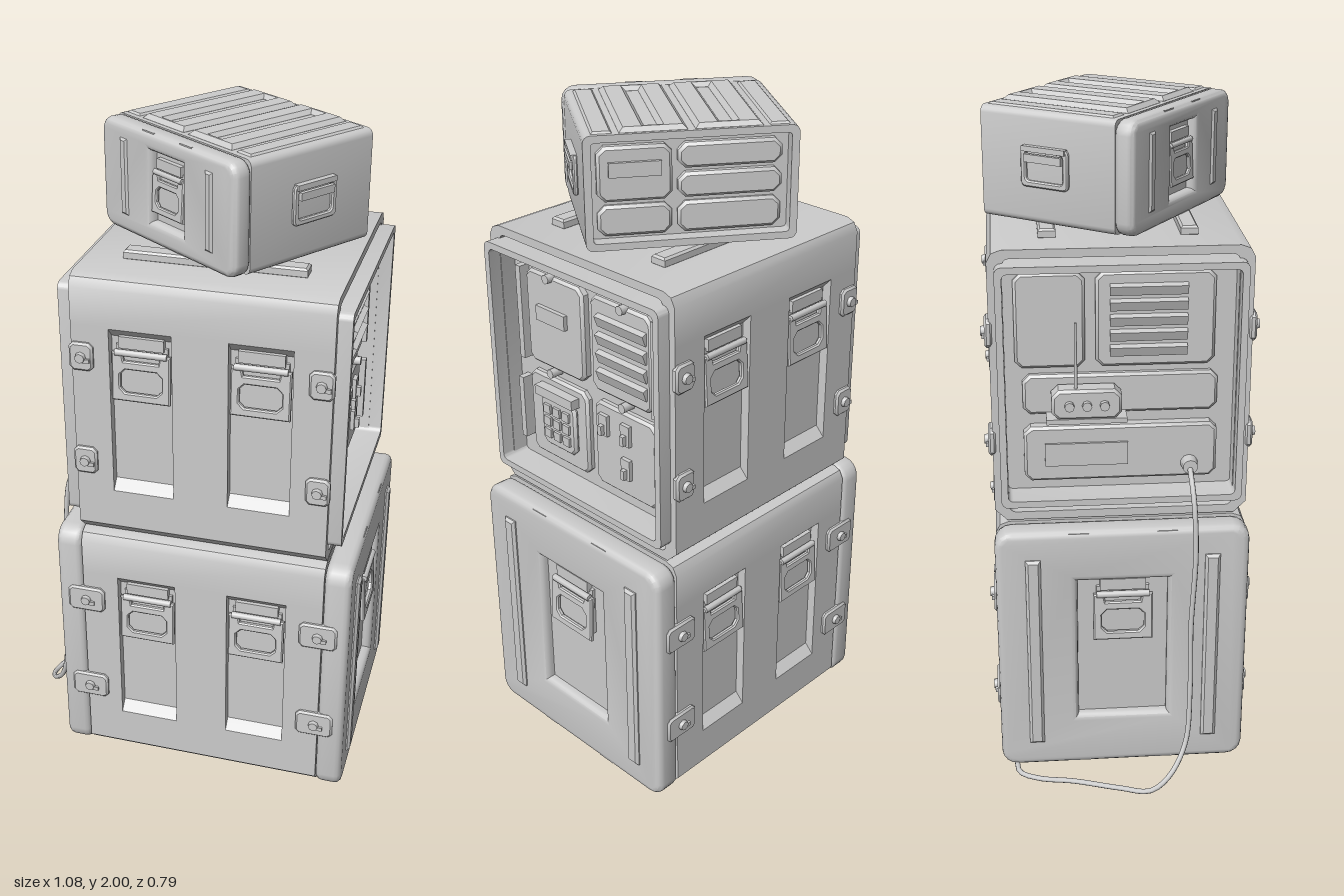
import * as THREE from 'three';
import { toCreasedNormals } from 'three/addons/utils/BufferGeometryUtils.js';

const MAT = new THREE.MeshStandardMaterial({ color: 0xcccccc });

function add(parent, name, geo, x = 0, y = 0, z = 0) {
  const m = new THREE.Mesh(geo, MAT);
  m.name = name;
  m.position.set(x, y, z);
  parent.add(m);
  return m;
}
const box = (p, name, w, h, d, x, y, z) => add(p, name, new THREE.BoxGeometry(w, h, d), x, y, z);

function sub(parent, name, x = 0, y = 0, z = 0, ry = 0) {
  const g = new THREE.Group();
  g.name = name;
  g.position.set(x, y, z);
  g.rotation.y = ry;
  parent.add(g);
  return g;
}
// Rectangle with rounded (or, with arc = false, chamfered) corners
function rect(w, h, r, cx = 0, cy = 0, arc = true) {
  const s = new THREE.Shape(), a = w / 2, b = h / 2;
  [[1, -1, 0], [1, 1, 1], [-1, 1, 2], [-1, -1, 3]].forEach(([sx, sy, q]) => {
    const n = r > 0 ? (arc ? 4 : 1) : 0;
    for (let i = 0; i <= n; i++) {
      const t = (q - 1 + (n ? i / n : 0)) * Math.PI / 2;
      const x = cx + sx * (a - r) + Math.cos(t) * r, y = cy + sy * (b - r) + Math.sin(t) * r;
      if (q === 0 && i === 0) s.moveTo(x, y); else s.lineTo(x, y);
    }
  });
  s.closePath();
  return s;
}
// Extrusion from z = 0 to z = depth; the bevel stays inside the outline
function ext(shape, depth, bevel = 0, segs = 1) {
  const g = new THREE.ExtrudeGeometry(shape, {
    depth: depth - 2 * bevel, bevelEnabled: bevel > 0, bevelSize: bevel,
    bevelThickness: bevel, bevelOffset: -bevel, bevelSegments: segs, curveSegments: 4,
  });
  g.translate(0, 0, bevel);
  return toCreasedNormals(g, 0.55);
}
const poly = pts => new THREE.Shape(pts.map(p => new THREE.Vector2(...p)));
const holed = (shape, ...holes) => { shape.holes.push(...holes); return shape; };
// Extrusion of a (z, y) profile along x, centred
function alongX(shape, length, x = 0) {
  return ext(shape, length).translate(0, 0, -length / 2).rotateY(Math.PI / 2).translate(x, 0, 0);
}

// Fold-down grip: mounting bracket, hinge bar, dished plate and raised loop
function grip(parent, x, y, z, s = 1) {
  const g = sub(parent, 'gripHandle', x, y, z);
  g.scale.setScalar(s);
  box(g, 'gripPlate', 0.15, 0.15, 0.01, 0, -0.01, 0.004);
  box(g, 'gripBracket', 0.13, 0.035, 0.018, 0, 0.075, 0.01);
  const loop = poly([[-0.085, 0.045], [-0.085, -0.1], [0.085, -0.1], [0.085, 0.045], [0.055, 0.045],
    [0.05, 0.02], [-0.05, 0.02], [-0.055, 0.045]]);
  const flap = add(g, 'gripLoop', ext(holed(loop, rect(0.12, 0.07, 0.015, 0, -0.04, false)), 0.016, 0.004), 0, 0, 0.01);
  flap.rotation.x = -0.06;
  const bar = add(g, 'gripHinge', new THREE.CylinderGeometry(0.01, 0.01, 0.15, 8), 0, 0.045, 0.02);
  bar.rotation.z = Math.PI / 2;
}

// Corner catch: plate with a turn knob
function catchPlate(parent, w, x, y, z) {
  const g = sub(parent, 'catch', x, y, z);
  add(g, 'catchPlate', ext(rect(w, 0.085, 0.012, 0, 0, false), 0.022, 0.006), 0, 0, -0.01);
  add(g, 'catchKnob', new THREE.CylinderGeometry(0.014, 0.017, 0.014, 8), 0, 0, 0.016).rotation.x = Math.PI / 2;
  box(g, 'catchLever', 0.03, 0.012, 0.01, 0.012, -0.008, 0.014);
}

// Case shell with two recessed grip bays on the front and back
function caseBody(parent, openBottom, catchW, catchX) {
  const half = [[0.335, 0], [0.37, 0.035], [0.37, 0.155], [0.342, 0.185], [0.342, 0.64],
    [0.37, 0.67], [0.37, 0.785], [0.357, 0.81], [0.33, 0.82]];
  const mirror = pts => pts.map(([a, b]) => [-a, b]).reverse();
  let shell;
  if (openBottom) {
    const inner = [[0.315, 0], [0.327, 0.03], [0.327, 0.78], [0.315, 0.8]];
    shell = poly([...half, ...mirror(half), ...inner.map(([a, b]) => [-a, b]), ...[...inner].reverse()]);
  } else shell = holed(poly([...half, ...mirror(half)]), rect(0.656, 0.77, 0.02, 0, 0.41));
  add(parent, 'caseShell', alongX(shell, 0.74));
  for (const side of [0, 1]) {
    const f = sub(parent, side ? 'backSide' : 'frontSide', 0, 0, 0, side * Math.PI);
    // pillars between the bays
    for (const [x0, x1] of [[-0.37, -0.26], [-0.08, 0.08], [0.26, 0.37]]) {
      const p = poly([[-0.34, 0.15], [-0.37, 0.15], [-0.37, 0.675], [-0.34, 0.675]]);
      add(f, 'pillar', alongX(p, x1 - x0, (x0 + x1) / 2));
    }
    for (const s of [-1, 1]) {
      grip(f, s * 0.17, 0.555, 0.342);
      for (const y of [0.25, 0.58]) catchPlate(f, catchW, s * catchX, y, 0.37);
    }
  }
}

// Rounded end cover with a grip bay, two ribs and edge tabs; outward is +z
function endCover(parent, side) {
  const g = sub(parent, 'endCover', side * 0.37, 0, 0, side * Math.PI / 2);
  const face = holed(rect(0.75, 0.815, 0.05, 0, 0.41), rect(0.27, 0.47, 0, 0, 0.415));
  add(g, 'coverShell', ext(face, 0.08, 0.02, 3));
  box(g, 'bayFloor', 0.3, 0.5, 0.01, 0, 0.415, 0.045);
  grip(g, 0, 0.555, 0.052, 1.05);
  for (const s of [-1, 1]) {
    add(g, 'rib', ext(rect(0.045, 0.64, 0), 0.03, 0.008), s * 0.265, 0.41, 0.062);
    for (const y of [0.03, 0.79]) box(g, 'edgeTab', 0.06, 0.04, 0.03, s * 0.13, y, 0.062);
  }
}

// Equipment module with chamfered corners
const unit = (p, name, w, h, d, x, y, z = 0) => add(p, name, ext(rect(w, h, 0.02, x, y, false), d, 0.008), 0, 0, z);

// Protruding end frame around a recessed equipment panel; outward is +z
function equipmentBay(parent, side) {
  const g = sub(parent, 'equipmentBay', side * 0.31, 0, 0, side * Math.PI / 2);
  add(g, 'bayFrame', ext(holed(rect(0.7, 0.725, 0.02, 0, 0.42), rect(0.66, 0.685, 0.015, 0, 0.42)), 0.1));
  box(g, 'bayPanel', 0.67, 0.7, 0.02, 0, 0.42, 0);
  return g;
}
function controlPanel(g) {
  unit(g, 'upperLeftUnit', 0.24, 0.29, 0.035, -0.135, 0.565);
  unit(g, 'upperRightUnit', 0.24, 0.29, 0.035, 0.135, 0.565);
  unit(g, 'lowerLeftUnit', 0.25, 0.27, 0.03, -0.14, 0.25);
  unit(g, 'lowerRightUnit', 0.25, 0.27, 0.03, 0.14, 0.25);
  for (const s of [-1, 1]) {
    box(g, 'sideRail', 0.02, 0.29, 0.05, s * 0.275, 0.565, 0.02);
    box(g, 'lowerRail', 0.02, 0.2, 0.05, s * 0.29, 0.25, 0.02);
    for (const y of [0.41, 0.705])
      add(g, 'knob', new THREE.CylinderGeometry(0.014, 0.014, 0.04, 8), s * 0.15, y, 0.03).rotation.x = Math.PI / 2;
  }
  box(g, 'displayStrip', 0.12, 0.045, 0.02, -0.14, 0.59, 0.038);
  for (let i = 0; i < 4; i++) box(g, 'ventSlat', 0.19, 0.035, 0.02, 0.145, 0.48 + i * 0.055, 0.036).rotation.x = 0.35;
  // keypad
  unit(g, 'keypad', 0.15, 0.17, 0.02, -0.13, 0.25, 0.025);
  box(g, 'keypadHood', 0.16, 0.03, 0.04, -0.13, 0.345, 0.04);
  for (let i = 0; i < 9; i++)
    box(g, 'key', 0.028, 0.028, 0.01, -0.17 + (i % 3) * 0.04, 0.21 + Math.floor(i / 3) * 0.04, 0.048);
  for (const [x, y] of [[0.06, 0.32], [0.15, 0.32], [0.15, 0.21]]) {
    box(g, 'switchBase', 0.035, 0.065, 0.014, x, y, 0.035);
    box(g, 'switchLever', 0.015, 0.03, 0.02, x, y - 0.012, 0.045);
  }
}
function radioPanel(g) {
  unit(g, 'leftRack', 0.2, 0.28, 0.025, -0.2, 0.6);
  unit(g, 'rightRack', 0.34, 0.28, 0.025, 0.1, 0.6);
  for (let i = 0; i < 5; i++) box(g, 'ventSlat', 0.22, 0.03, 0.02, 0.08, 0.51 + i * 0.045, 0.027).rotation.x = 0.35;
  unit(g, 'middleRack', 0.56, 0.12, 0.03, 0, 0.38);
  unit(g, 'drawer', 0.56, 0.17, 0.045, 0, 0.2);
  box(g, 'drawerLabelFrame', 0.24, 0.07, 0.015, -0.1, 0.2, 0.045);
  // radio with antenna
  const r = sub(g, 'radio', -0.1, 0.37, 0.03);
  unit(r, 'radioBody', 0.2, 0.09, 0.06, 0, 0);
  box(r, 'radioGuard', 0.23, 0.015, 0.06, 0, -0.05, 0.03);
  for (const x of [-0.05, 0, 0.05])
    add(r, 'radioDial', new THREE.CylinderGeometry(0.014, 0.014, 0.02, 8), x, 0, 0.065).rotation.x = Math.PI / 2;
  add(r, 'antenna', new THREE.CylinderGeometry(0.004, 0.006, 0.2, 6), -0.03, 0.14, 0.04);
  add(g, 'cableSocket', new THREE.CylinderGeometry(0.022, 0.026, 0.04, 10), 0.2, 0.16, 0.06).rotation.x = Math.PI / 2;
}

// Small case: hollow body, front lid, ribbed top and rear equipment
function smallCase(parent) {
  const g = sub(parent, 'topCase', 0.077, 1.67, -0.008, -0.613);
  add(g, 'topCaseShell', ext(holed(rect(0.572, 0.315, 0.02, 0, 0.16), rect(0.53, 0.275, 0.01, 0, 0.16)), 0.435), 0, 0, -0.245);
  const lidFace = holed(rect(0.58, 0.318, 0.04, 0, 0.16), rect(0.14, 0.2, 0, 0, 0.165));
  add(g, 'lid', ext(lidFace, 0.06, 0.018, 3), 0, 0, 0.187);
  box(g, 'lidBayFloor', 0.17, 0.23, 0.01, 0, 0.165, 0.215);
  grip(g, 0, 0.175, 0.22, 0.8);
  for (const s of [-1, 1]) {
    add(g, 'lidRib', ext(rect(0.03, 0.22, 0), 0.02, 0.006), s * 0.185, 0.165, 0.233);
    box(g, 'lidTab', 0.05, 0.025, 0.025, s * 0.08, 0.305, 0.228);
    // raised top bands, each with a sloped trough
    const band = holed(rect(0.18, 0.41, 0), rect(0.035, 0.35, 0));
    add(g, 'topBand', ext(band, 0.028, 0.012).rotateX(-Math.PI / 2), s * 0.1, 0.302, -0.03);
    add(g, 'topEdgeStrip', ext(rect(0.06, 0.41, 0), 0.02, 0.008).rotateX(-Math.PI / 2), s * 0.235, 0.303, -0.03);
    // side carrying handle
    const h = sub(g, 'sideHandle', s * 0.285, 0.165, -0.03, s * Math.PI / 2);
    add(h, 'handlePlate', ext(holed(rect(0.155, 0.115, 0.015), rect(0.12, 0.08, 0.01)), 0.014, 0.004));
    box(h, 'handleBar', 0.12, 0.022, 0.012, 0, 0.025, 0.016);
    box(h, 'handleHinge', 0.14, 0.015, 0.018, 0, 0.05, 0.01);
  }
  const r = sub(g, 'rearPanel', 0, 0, -0.2, Math.PI);
  box(r, 'rearPlate', 0.54, 0.285, 0.01, 0, 0.16, 0);
  unit(r, 'leftRearUnit', 0.2, 0.15, 0.03, -0.15, 0.205);
  box(r, 'rearSlot', 0.14, 0.04, 0.015, -0.15, 0.22, 0.032);
  for (const y of [0.165, 0.245]) unit(r, 'rightRearUnit', 0.28, 0.068, 0.03, 0.105, y);
  unit(r, 'lowerLeftUnit', 0.2, 0.085, 0.022, -0.15, 0.075);
  unit(r, 'lowerRightUnit', 0.28, 0.085, 0.022, 0.105, 0.075);
}

export function createModel() {
  const root = new THREE.Group();
  root.name = 'stackedEquipmentCases';

  const lower = sub(root, 'lowerCase', 0.08, 0.003, 0);
  caseBody(lower, true, 0.115, 0.36);
  for (const s of [-1, 1]) endCover(lower, s);

  const middle = sub(root, 'middleCase', 0.08, 0.828, 0);
  caseBody(middle, false, 0.07, 0.34);
  controlPanel(equipmentBay(middle, 1));
  radioPanel(equipmentBay(middle, -1));
  for (const s of [-1, 1]) // stacking rails
    add(middle, 'stackingRail', ext(rect(0.52, 0.05, 0), 0.03, 0.006).rotateX(-Math.PI / 2), 0, 0.815, s * 0.2);

  smallCase(root);

  // Cable from the radio panel down to the floor
  const path = new THREE.CatmullRomCurve3([[-0.28, 0.99, 0.2], [-0.33, 0.97, 0.2], [-0.38, 0.9, 0.205],
    [-0.4, 0.75, 0.21], [-0.405, 0.5, 0.2], [-0.42, 0.3, 0.2], [-0.45, 0.12, 0.185], [-0.505, 0.04, 0.13],
    [-0.532, 0.011, 0.07], [-0.51, 0.01, -0.02], [-0.465, 0.01, -0.16], [-0.445, 0.01, -0.26],
    [-0.41, 0.01, -0.32], [-0.35, 0.01, -0.33]].map(p => new THREE.Vector3(...p)));
  add(root, 'cable', new THREE.TubeGeometry(path, 70, 0.008, 8));
  return root;
}
